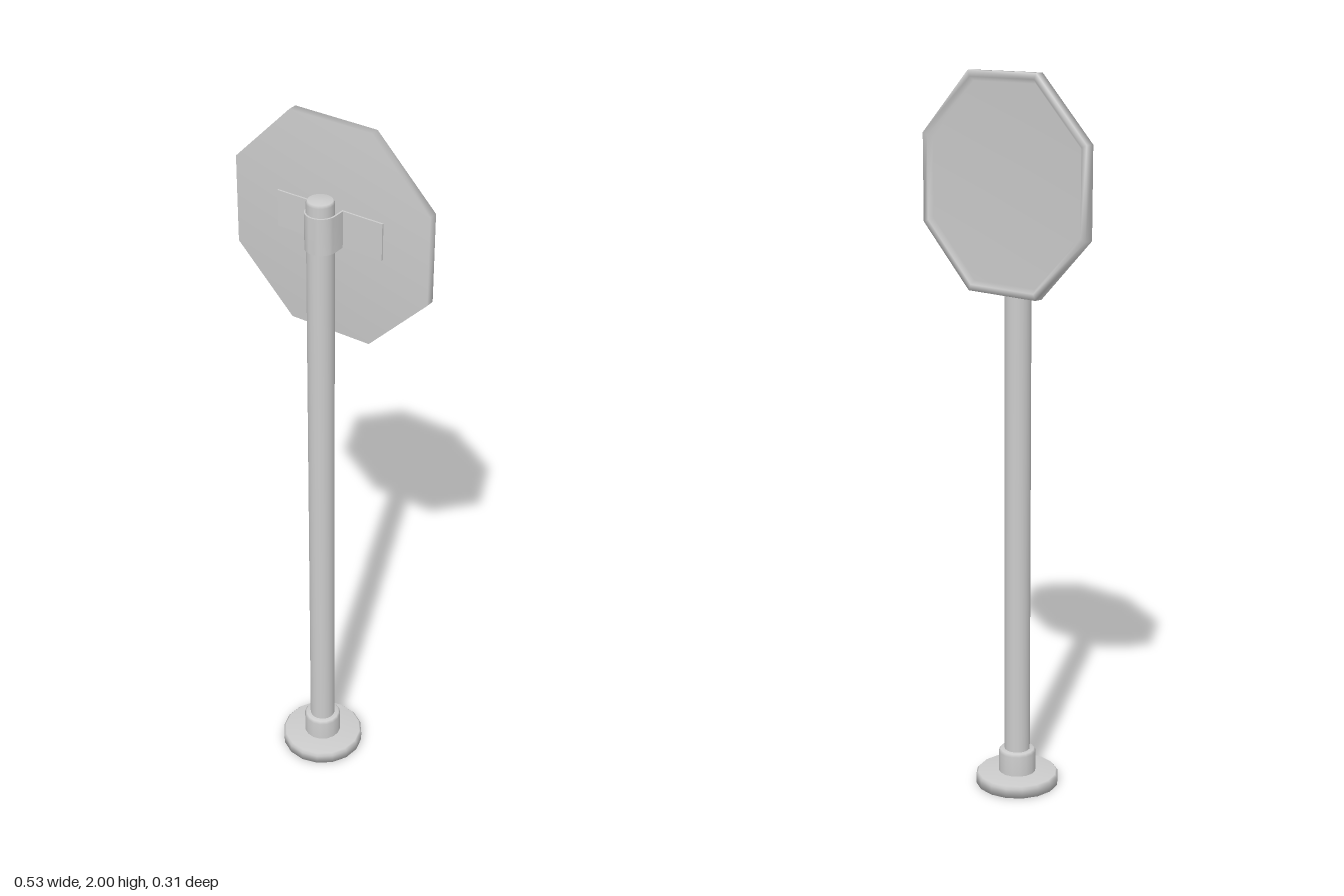
import * as THREE from 'three';
import { toCreasedNormals } from 'three/addons/utils/BufferGeometryUtils.js';

const material = new THREE.MeshStandardMaterial({ color: 0xcccccc });

function addMesh(parent, name, geometry) {
  const mesh = new THREE.Mesh(geometry, material);
  mesh.name = name;
  parent.add(mesh);
  return mesh;
}

// Revolve a profile of [radius, height] pairs, listed from the bottom up
function lathe(profile, sides, start = 0) {
  return new THREE.LatheGeometry(profile.map(([r, y]) => new THREE.Vector2(r, y)), sides, start);
}

// Strip of constant thickness: wings against the panel, hump around the post
function bracketGeometry() {
  const postGap = 0.05, t = 0.005, height = 0.1;
  const side = (r, v) => {
    const pts = [[0.158, v], [r, v]];
    for (let i = 0; i <= 16; i++) {
      const a = Math.PI * i / 16;
      pts.push([r * Math.cos(a), postGap + r * Math.sin(a)]);
    }
    pts.push([-r, v], [-0.158, v]);
    return pts.map(([x, y]) => new THREE.Vector2(x, y));
  };
  const shape = new THREE.Shape([...side(0.042, 0.0175), ...side(0.042 - t, 0.0125).reverse()]);
  const geo = new THREE.ExtrudeGeometry(shape, { depth: height, bevelEnabled: false });
  geo.rotateX(Math.PI / 2).translate(0, height / 2, 0);
  return toCreasedNormals(geo, 0.6);
}

export function createModel() {
  const model = new THREE.Group();
  model.name = 'signPost';

  // Post with its foot
  const stand = new THREE.Group();
  stand.name = 'stand';
  stand.position.set(-0.026, 0, 0.034);
  model.add(stand);

  addMesh(stand, 'baseFlange', lathe(
    [[0, 0], [0.118, 0], [0.118, 0.026], [0.112, 0.033], [0.05, 0.036]], 16));
  addMesh(stand, 'baseCollar', lathe(
    [[0.053, 0.03], [0.053, 0.094], [0.048, 0.102], [0.03, 0.103]], 16));
  addMesh(stand, 'post', lathe(
    [[0.036, 0.03], [0.036, 1.8], [0.032, 1.807], [0, 1.808]], 20));

  // Octagonal panel and bracket, turned together
  const head = new THREE.Group();
  head.name = 'signHead';
  head.position.set(-0.001, 1.71, -0.01);
  head.rotation.y = -THREE.MathUtils.degToRad(27.2);
  model.add(head);

  // Flat back, raised rim and recessed face pointing away from the post
  const R = 0.29 / Math.cos(Math.PI / 8);
  const panel = lathe([
    [0, -0.0125], [R, -0.0125], [R, 0.0125],
    [R - 0.018, 0.0125], [R - 0.03, 0.001], [0, 0.001],
  ], 8, Math.PI / 8);
  panel.rotateX(-Math.PI / 2);
  addMesh(head, 'octagonPanel', panel);

  addMesh(head, 'bracket', bracketGeometry()).position.y = 0.015;

  return model;
}
